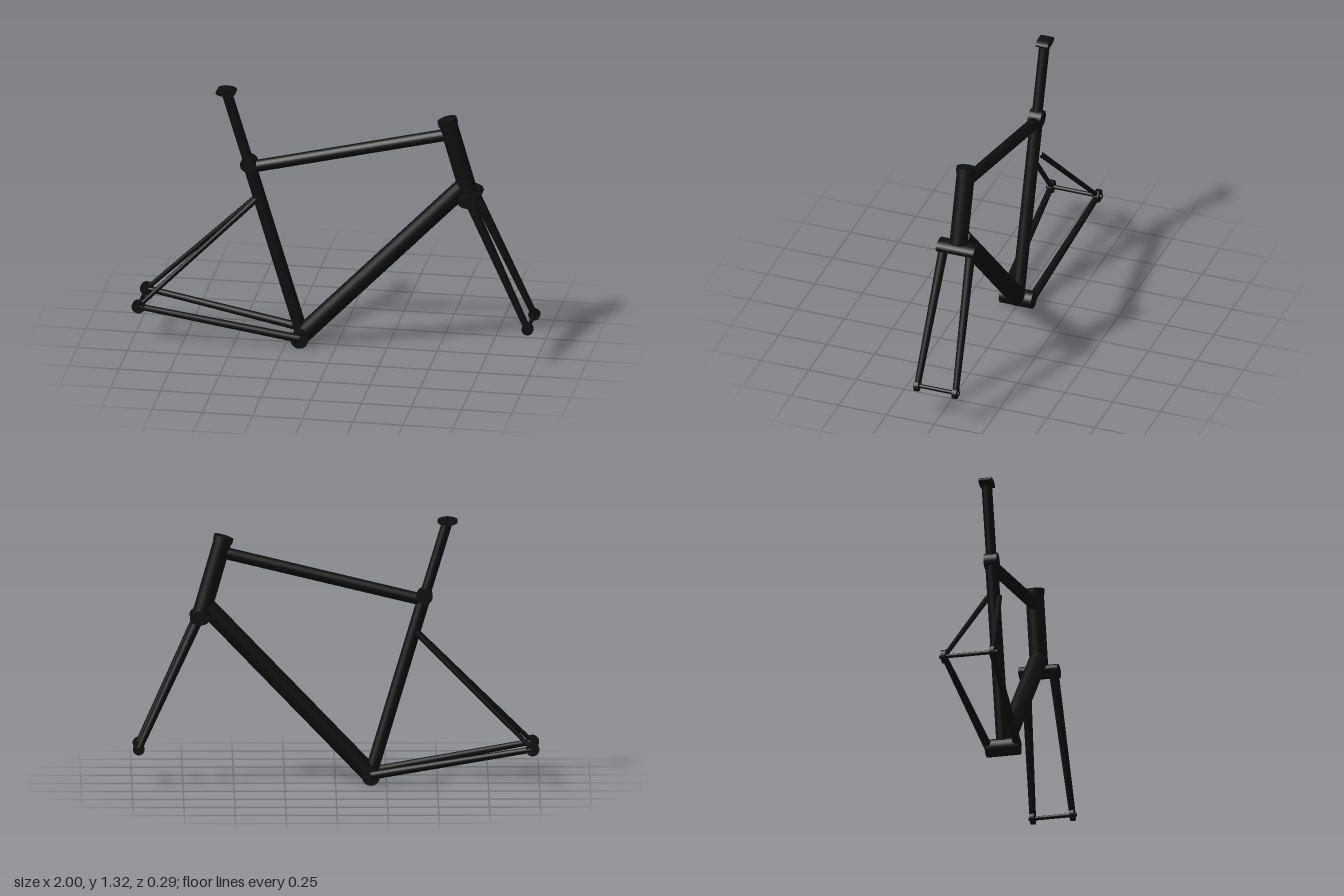
import * as THREE from 'three';

export function createModel() {
  const bike = new THREE.Group();
  bike.name = 'bicycleFrame';
  const black = new THREE.MeshStandardMaterial({ color: 0x0f0f0f });
  black.name = 'black';
  const UP = new THREE.Vector3(0, 1, 0);

  // Round tube between two points, tapering from r0 to r1
  function tube(name, from, to, r0, r1 = r0) {
    const a = new THREE.Vector3(...from);
    const b = new THREE.Vector3(...to);
    const dir = b.clone().sub(a);
    const mesh = new THREE.Mesh(new THREE.CylinderGeometry(r1, r0, dir.length(), 24), black);
    mesh.name = name;
    mesh.position.copy(a).add(b).multiplyScalar(0.5);
    mesh.quaternion.setFromUnitVectors(UP, dir.normalize());
    bike.add(mesh);
  }

  // Crosswise cylinder along z with an oval section
  function cross(name, x, y, z, rx, ry, width) {
    const geometry = new THREE.CylinderGeometry(1, 1, width, 24).rotateX(Math.PI / 2).scale(rx, ry, 1);
    const mesh = new THREE.Mesh(geometry, black);
    mesh.name = name;
    mesh.position.set(x, y, z);
    bike.add(mesh);
  }

  // Main triangle
  tube('seatTube', [-0.172, 0.045, 0], [-0.437, 0.93, 0], 0.032);
  tube('topTube', [-0.43, 0.912, 0], [0.57, 1.153, 0], 0.03);
  tube('downTube', [-0.172, 0.045, 0], [0.63, 0.878, 0], 0.046);
  tube('headTube', [0.658, 0.848, 0], [0.549, 1.226, 0], 0.045);
  tube('headsetCollar', [0.556, 1.203, 0], [0.548, 1.23, 0], 0.049);
  cross('bottomBracket', -0.173, 0.045, 0, 0.044, 0.044, 0.168);

  // Seat post, its clamp and its head
  cross('seatCluster', -0.437, 0.932, 0, 0.04, 0.04, 0.066);
  tube('seatPost', [-0.437, 0.93, 0], [-0.55, 1.303, 0], 0.026);
  cross('seatPostHead', -0.55, 1.304, 0, 0.049, 0.019, 0.063);

  // Fork crown and axles
  cross('forkCrown', 0.667, 0.832, 0, 0.049, 0.031, 0.196);
  cross('frontAxle', 0.967, 0.187, 0, 0.01, 0.01, 0.24);
  cross('rearAxle', -0.967, 0.187, 0, 0.01, 0.01, 0.292);

  // Paired legs, stays and dropouts
  for (const s of [1, -1]) {
    tube('forkLeg', [0.672, 0.832, s * 0.07], [0.967, 0.187, s * 0.1], 0.024, 0.016);
    cross('frontDropout', 0.967, 0.187, s * 0.1, 0.029, 0.029, 0.022);
    tube('chainStay', [-0.173, 0.05, s * 0.073], [-0.967, 0.187, s * 0.122], 0.021, 0.015);
    tube('seatStay', [-0.395, 0.755, s * 0.03], [-0.967, 0.187, s * 0.122], 0.014, 0.011);
    cross('rearDropout', -0.967, 0.187, s * 0.122, 0.033, 0.033, 0.024);
  }
  return bike;
}
